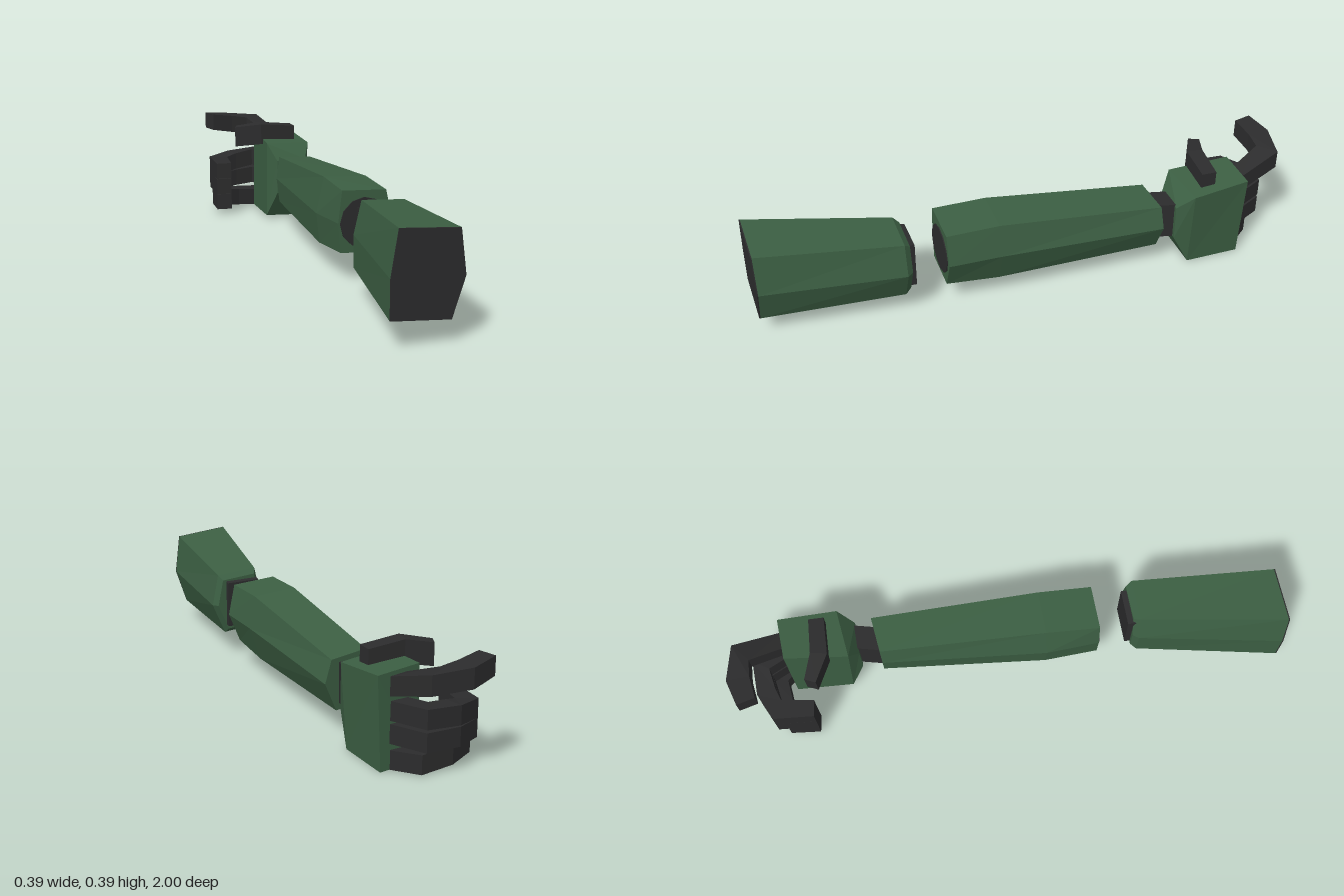
import * as THREE from 'three';

const green = new THREE.MeshStandardMaterial({ color: 0x3c5f43 });
green.name = 'armour green';
const dark = new THREE.MeshStandardMaterial({ color: 0x2c2c2d });
dark.name = 'joint charcoal';

// Faceted solid through matching rings of [x, y, z], counter-clockwise seen from the first ring
function loft(name, rings, material) {
  const pos = [];
  const tri = (a, b, c) => pos.push(...a, ...b, ...c);
  const n = rings[0].length;
  for (let i = 0; i < rings.length - 1; i++) {
    const a = rings[i], b = rings[i + 1];
    for (let j = 0; j < n; j++) {
      const k = (j + 1) % n;
      tri(a[j], b[j], b[k]);
      tri(a[j], b[k], a[k]);
    }
  }
  const first = rings[0], last = rings[rings.length - 1];
  for (let j = 1; j < n - 1; j++) {
    tri(first[0], first[j], first[j + 1]);
    tri(last[0], last[j + 1], last[j]);
  }
  const geo = new THREE.BufferGeometry();
  geo.setAttribute('position', new THREE.Float32BufferAttribute(pos, 3));
  geo.computeVertexNormals();
  const mesh = new THREE.Mesh(geo, material);
  mesh.name = name;
  return mesh;
}

// Ring of [x, y] points at depth z, slanted slightly across x
const ring = (z, pts, slant = 0.08) => pts.map(([x, y]) => [x, y, z - slant * x]);
const rect = (x0, x1, y0, y1) => [[x0, y0], [x1, y0], [x1, y1], [x0, y1]];
const shrink = (pts, s) => {
  const cx = pts.reduce((t, p) => t + p[0], 0) / pts.length;
  const cy = pts.reduce((t, p) => t + p[1], 0) / pts.length;
  return pts.map(([x, y]) => [cx + (x - cx) * s, cy + (y - cy) * s]);
};

// Jointed finger: box section swept along [x, y, z, width, height] stations
function finger(name, path) {
  const rings = path.map(([x, y, z, w, h], i) => {
    const p = path[Math.max(i - 1, 0)], q = path[Math.min(i + 1, path.length - 1)];
    const d = new THREE.Vector2(q[0] - p[0], q[2] - p[2]).normalize();
    const rx = -d.y * w / 2, rz = d.x * w / 2;
    return [[-1, -1], [1, -1], [1, 1], [-1, 1]].map(([s, t]) => [x + s * rx, y + t * h / 2, z + s * rz]);
  });
  return loft(name, rings, dark);
}

export function createModel() {
  const arm = new THREE.Group();
  arm.name = 'arm';

  // Upper arm
  const shoulder = [[-0.075, 0.1], [0.13, 0.08], [0.175, 0.215], [0.155, 0.365], [-0.05, 0.383], [-0.075, 0.23]];
  const elbowEnd = [[-0.008, 0.105], [0.15, 0.09], [0.2, 0.207], [0.175, 0.325], [0.018, 0.337], [-0.01, 0.22]];
  arm.add(loft('upperArm', [
    ring(0.99, shoulder), ring(0.478, elbowEnd), ring(0.457, shrink(elbowEnd, 0.85)),
  ], green));
  arm.add(loft('shoulderCap', [ring(0.994, shoulder), ring(0.99, shoulder)], dark));
  arm.add(loft('elbowBlock', [
    ring(0.47, rect(0.018, 0.148, 0.125, 0.305)), ring(0.437, rect(0.018, 0.148, 0.125, 0.3)),
  ], dark));

  // Forearm with a round socket at the elbow
  const wristEnd = [[0.002, 0.105], [0.12, 0.093], [0.165, 0.195], [0.14, 0.275], [0.002, 0.288], [-0.01, 0.2]];
  arm.add(loft('forearm', [
    ring(0.329, [[-0.005, 0.115], [0.145, 0.1], [0.19, 0.21], [0.165, 0.325], [0, 0.335], [-0.014, 0.22]]),
    ring(0.135, [[-0.02, 0.1], [0.14, 0.085], [0.183, 0.21], [0.16, 0.33], [-0.003, 0.341], [-0.032, 0.21]]),
    ring(-0.465, wristEnd, 0.18),
  ], green));
  const socket = new THREE.Mesh(new THREE.CylinderGeometry(0.09, 0.09, 0.008, 12).rotateX(Math.PI / 2), dark);
  socket.name = 'elbowSocket';
  socket.position.set(0.082, 0.216, 0.322);
  socket.rotation.y = 0.08;
  arm.add(socket);

  // Wrist
  arm.add(loft('wrist', [
    ring(-0.45, rect(0.015, 0.105, 0.12, 0.262)), ring(-0.56, rect(0.035, 0.125, 0.12, 0.262)),
  ], dark));

  // Palm, tapered towards the wrist
  arm.add(loft('palm', [
    ring(-0.54, rect(0.015, 0.135, 0.12, 0.255)),
    [[-0.018, 0.018, -0.59], [0.142, 0.006, -0.61], [0.165, 0.31, -0.61], [-0.018, 0.322, -0.575]],
    [[-0.018, 0.015, -0.8], [0.125, 0.003, -0.815], [0.143, 0.33, -0.822], [-0.012, 0.343, -0.802]],
  ], green));

  // Thumb across the top of the hand
  arm.add(finger('thumb', [
    [0.117, 0.34, -0.677, 0.055, 0.07], [-0.02, 0.348, -0.672, 0.06, 0.082], [-0.115, 0.334, -0.708, 0.042, 0.08],
  ]));

  // Pointing index finger and three curled fingers
  arm.add(finger('indexFinger', [
    [0.07, 0.285, -0.8, 0.06, 0.065], [0.015, 0.335, -0.95, 0.085, 0.068],
    [-0.085, 0.345, -0.958, 0.082, 0.07], [-0.175, 0.36, -0.93, 0.068, 0.066],
  ]));
  const curled = [['middleFinger', 0.187, 0.205, 0], ['ringFinger', 0.121, 0.128, 0], ['littleFinger', 0.056, 0.04, 0.04]];
  for (const [name, tipY, baseY, back] of curled) {
    const midY = (tipY + baseY) / 2;
    arm.add(finger(name, [
      [0.07, baseY, -0.795, 0.06, 0.066], [0.01, baseY, -0.9 + back, 0.068, 0.067],
      [-0.09, midY, -0.885 + back, 0.068, 0.067], [-0.158, tipY, -0.85 + back, 0.075, 0.066],
      [-0.165, tipY, -0.718, 0.06, 0.064],
    ]));
  }
  return arm;
}
